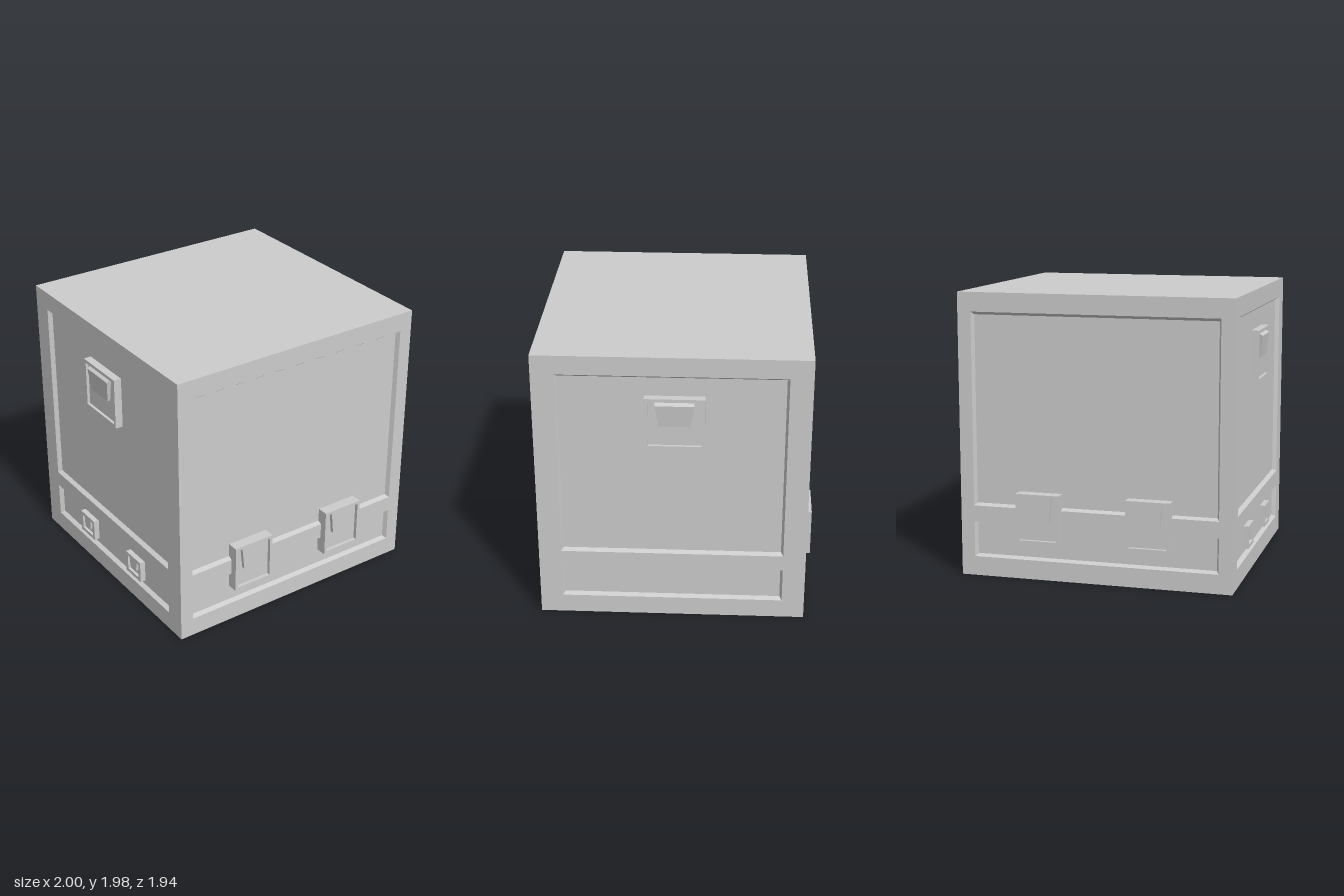
import * as THREE from 'three';

const material = new THREE.MeshStandardMaterial({ color: 0xcccccc, flatShading: true });
const HEIGHT = 1.975, HALF_X = 0.96, HALF_Z = 0.92, RECESS = 0.03, BEVEL = 0.016;

function addMesh(parent, geometry, name) {
  const mesh = new THREE.Mesh(geometry, material);
  mesh.name = name;
  parent.add(mesh);
  return mesh;
}

// Rectangle outline running counter-clockwise
function rectangle(x0, y0, x1, y1, Type = THREE.Shape) {
  return new Type([[x0, y0], [x1, y0], [x1, y1], [x0, y1]].map(p => new THREE.Vector2(...p)));
}

// Sunken panel: four sloping sides and a floor behind the wall surface
function recessGeometry(half, y0, y1, topBevel) {
  const outer = [[-half, y0], [half, y0], [half, y1], [-half, y1]].map(p => [...p, 0]);
  const h = half - BEVEL, b = y0 + BEVEL, t = y1 - topBevel;
  const inner = [[-h, b], [h, b], [h, t], [-h, t]].map(p => [...p, -RECESS]);
  const positions = [];
  const quad = (a, b2, c, d) => positions.push(...a, ...b2, ...c, ...a, ...c, ...d);
  quad(...inner);
  for (let i = 0; i < 4; i++) {
    const j = (i + 1) % 4;
    quad(outer[i], outer[j], inner[j], inner[i]);
  }
  const geometry = new THREE.BufferGeometry();
  geometry.setAttribute('position', new THREE.Float32BufferAttribute(positions, 3));
  geometry.computeVertexNormals();
  return geometry;
}

// One side wall with a tall upper panel and a low lower panel
function makeWall(name, halfWidth) {
  const wall = new THREE.Group();
  wall.name = name;
  const half = halfWidth - (halfWidth === HALF_X ? 0.095 : 0.155);
  const shape = rectangle(-halfWidth, 0, halfWidth, HEIGHT);
  const panels = [
    ['upperPanel', 0.497, 1.842, 0.02],
    ['lowerPanel', 0.135, 0.383, 0],
  ];
  for (const [panelName, y0, y1, topBevel] of panels) {
    shape.holes.push(rectangle(-half, y0, half, y1, THREE.Path));
    addMesh(wall, recessGeometry(half, y0, y1, topBevel), panelName);
  }
  addMesh(wall, new THREE.ShapeGeometry(shape), 'wallFrame');
  return wall;
}

// Latch: raised frame, sunken plate and a tapered flap hanging from the top
function addLatch(wall, name, x, y, { w, h, raise, margin, flapTop, flapBottom, flapHeight, lip, sink }) {
  const latch = new THREE.Group();
  latch.name = name;
  latch.position.set(x, y, 0);
  const iw = w / 2 - margin, ih = h / 2 - margin;

  const shape = rectangle(-w / 2, -h / 2, w / 2, h / 2);
  shape.holes.push(rectangle(-iw, -ih, iw, ih, THREE.Path));
  const frame = new THREE.ExtrudeGeometry(shape, { depth: raise + RECESS, bevelEnabled: false });
  addMesh(latch, frame.translate(0, 0, -RECESS), 'latchFrame');

  const floor = raise - sink;
  addMesh(latch, new THREE.PlaneGeometry(2 * iw, 2 * ih), 'latchPlate').position.z = floor;

  const flap = new THREE.BoxGeometry(1, 1, 1);
  const p = flap.attributes.position;
  for (let i = 0; i < p.count; i++) {
    const top = p.getY(i) > 0, front = p.getZ(i) > 0;
    const fx = Math.sign(p.getX(i)) * (top ? flapTop : flapBottom) / 2;
    const fy = top ? ih - (front && lip ? 0.02 : 0) : ih - flapHeight;
    p.setXYZ(i, fx, fy, front ? raise + (top ? lip : 0) : floor);
  }
  flap.computeVertexNormals();
  addMesh(latch, flap, 'latchFlap');
  wall.add(latch);
}

const cornerLatch = { w: 0.31, h: 0.345, raise: 0.05, margin: 0.021, flapTop: 0.2, flapBottom: 0.165, flapHeight: 0.165, lip: 0, sink: 0.025 };
const sideLatch = { w: 0.4, h: 0.366, raise: 0.025, margin: 0.023, flapTop: 0.26, flapBottom: 0.21, flapHeight: 0.175, lip: 0.015, sink: 0.02 };
const smallLatch = { w: 0.19, h: 0.16, raise: 0.01, margin: 0.025, flapTop: 0.09, flapBottom: 0.075, flapHeight: 0.07, lip: 0, sink: 0.02 };

export function createModel() {
  const model = new THREE.Group();
  model.name = 'crate';

  // Front and back walls, each with a pair of latches
  for (const side of [1, -1]) {
    const wall = makeWall(side > 0 ? 'frontWall' : 'backWall', HALF_X);
    wall.position.z = side * HALF_Z;
    wall.rotation.y = side > 0 ? 0 : Math.PI;
    for (const s of [-1, 1]) addLatch(wall, 'lowerLatch', s * 0.388, 0.438, cornerLatch);
    model.add(wall);
  }

  // Left and right walls, each with one high latch
  for (const side of [1, -1]) {
    const wall = makeWall(side > 0 ? 'leftWall' : 'rightWall', HALF_Z);
    wall.position.x = side * HALF_X;
    wall.rotation.y = side * Math.PI / 2;
    addLatch(wall, 'upperLatch', side * 0.02, 1.508, sideLatch);
    // Two small catches on the right wall only
    if (side < 0) for (const s of [-1, 1]) addLatch(wall, 'smallCatch', s * 0.32, 0.265, smallLatch);
    model.add(wall);
  }

  // Lid and base
  const lid = addMesh(model, new THREE.PlaneGeometry(2 * HALF_X, 2 * HALF_Z), 'lid');
  lid.rotation.x = -Math.PI / 2;
  lid.position.y = HEIGHT;
  const base = addMesh(model, new THREE.PlaneGeometry(2 * HALF_X, 2 * HALF_Z), 'base');
  base.rotation.x = Math.PI / 2;

  return model;
}
